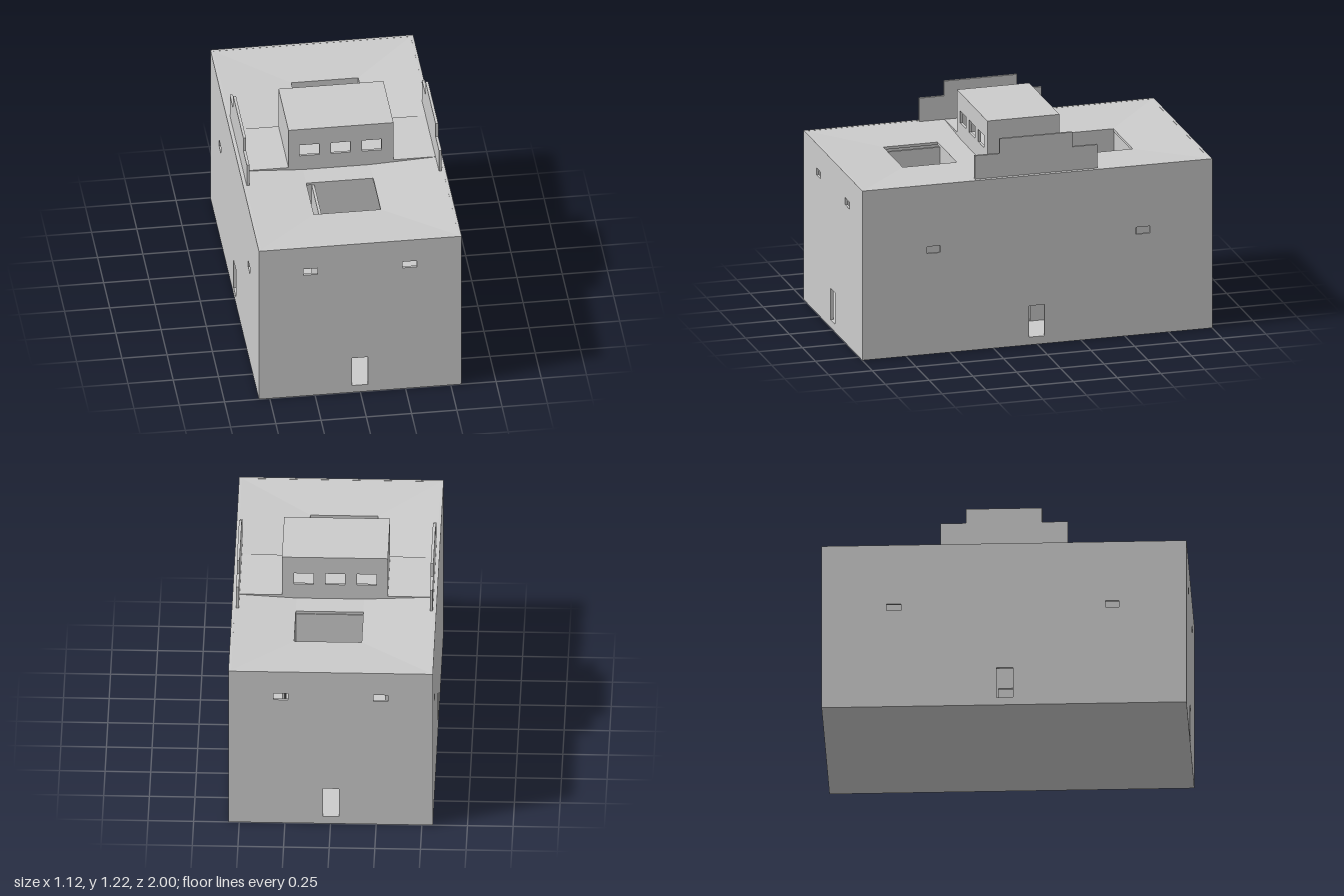
import * as THREE from 'three';

const mat = new THREE.MeshStandardMaterial({ color: 0xcccccc });
const sheetMat = new THREE.MeshStandardMaterial({ color: 0xcccccc, side: THREE.DoubleSide });
const T = 0.015; // wall thickness
const TOP = 0.975, DIP = 0.955; // roof edge and roof opening heights

// Extruded upright panel. axis 'z': u runs along x; axis 'x': u runs along z.
// pos is the lower coordinate of the panel across its thickness.
function panel(name, axis, pos, outline, holes = []) {
  const shape = new THREE.Shape(outline.map(([u, y]) => new THREE.Vector2(u, y)));
  for (const [u0, u1, y0, y1] of holes) {
    shape.holes.push(new THREE.Path(rect(u0, u1, y0, y1).map(([u, y]) => new THREE.Vector2(u, y)).reverse()));
  }
  const geo = new THREE.ExtrudeGeometry(shape, { depth: T, bevelEnabled: false });
  if (axis === 'x') geo.rotateY(-Math.PI / 2).translate(pos + T, 0, 0);
  else geo.translate(0, 0, pos);
  const mesh = new THREE.Mesh(geo, mat);
  mesh.name = name;
  return mesh;
}

const rect = (u0, u1, y0, y1) => [[u0, y0], [u1, y0], [u1, y1], [u0, y1]];

function box(name, x0, x1, y0, y1, z0, z1) {
  const mesh = new THREE.Mesh(new THREE.BoxGeometry(x1 - x0, y1 - y0, z1 - z0), mat);
  mesh.position.set((x0 + x1) / 2, (y0 + y1) / 2, (z0 + z1) / 2);
  mesh.name = name;
  return mesh;
}

// Flat-shaded sheet from polygons, each fanned from its first corner
function sheet(name, polygons) {
  const pos = [];
  for (const p of polygons) {
    for (let i = 1; i < p.length - 1; i++) pos.push(...p[0], ...p[i], ...p[i + 1]);
  }
  const geo = new THREE.BufferGeometry();
  geo.setAttribute('position', new THREE.Float32BufferAttribute(pos, 3));
  geo.computeVertexNormals();
  const mesh = new THREE.Mesh(geo, sheetMat);
  mesh.name = name;
  return mesh;
}

// Roof half that slopes gently inward to a rectangular opening
function slopedRoof() {
  const [l, r, f, b, e] = [-0.21, 0.16, 0.65, 0.34, 0.205];
  const hi = (x, z) => [x, TOP, z];
  const lo = (x, z) => [x, DIP, z];
  const rim = [lo(l, f), lo(r, f), lo(r, b), lo(l, b)];
  const polygons = [
    [hi(-0.56, 1), hi(0.56, 1), rim[1], rim[0]],
    [rim[1], hi(0.56, 1), hi(0.56, e), lo(r, e), rim[2]],
    [rim[3], rim[2], lo(r, e), lo(l, e)],
    [rim[0], rim[3], lo(l, e), hi(-0.56, e), hi(-0.56, 1)],
    [hi(-0.56, e), lo(l, e), lo(r, e), hi(0.56, e)],
  ];
  // Thickness of the opening edge
  rim.forEach((p, i) => {
    const q = rim[(i + 1) % 4];
    polygons.push([p, q, [q[0], q[1] - T, q[2]], [p[0], p[1] - T, p[2]]]);
  });
  return sheet('slopedRoof', polygons);
}

// Light shaft below a roof opening
function lightShaft(z0, z1, peep) {
  const g = new THREE.Group();
  g.name = 'lightShaft';
  const [x0, x1, y0, y1] = [-0.165, 0.21, 0.065, DIP - T];
  g.add(
    panel('shaftSideWall', 'x', x0 - T, rect(z0, z1, y0, y1), [peep]),
    panel('shaftSideWall', 'x', x1, rect(z0, z1, y0, y1), [peep]),
    panel('shaftEndWall', 'z', z0 - T, rect(x0 - T, x1 + T, y0, y1)),
    panel('shaftEndWall', 'z', z1, rect(x0 - T, x1 + T, y0, y1)),
  );
  return g;
}

export function createModel() {
  const model = new THREE.Group();
  model.name = 'building';

  // Floor slab
  model.add(box('floor', -0.555, 0.555, 0, 0.045, -0.995, 0.995));

  // Outer walls with doors and small high windows
  const endHoles = [[-0.045, 0.042, 0.045, 0.225], [-0.315, -0.235, 0.795, 0.835], [0.232, 0.312, 0.795, 0.835]];
  const sideHoles = [[-0.042, 0.048, 0.045, 0.225], [0.555, 0.63, 0.58, 0.62], [-0.645, -0.565, 0.58, 0.62]];
  for (const z of [-1, 1 - T]) model.add(panel('endWall', 'z', z, rect(-0.56, 0.56, 0, TOP), endHoles));
  for (const x of [-0.56, 0.56 - T]) {
    model.add(panel('sideWall', 'x', x, rect(-1 + T, 1 - T, 0, TOP), sideHoles));
  }

  // Roof: flat middle strip and two sloped halves
  model.add(box('middleRoof', -0.56, 0.56, TOP - T, TOP, -0.205, 0.205));
  const backRoof = slopedRoof();
  backRoof.rotation.y = Math.PI;
  model.add(slopedRoof(), backRoof);

  // Light shafts
  model.add(lightShaft(0.34, 0.65, [0.56, 0.6, 0.56, 0.6]));
  model.add(lightShaft(-0.655, -0.345, [-0.6, -0.565, 0.56, 0.6]));

  // Inner partitions beneath the rooftop room
  for (const x of [-0.29, 0.29 - T]) {
    model.add(panel('partition', 'x', x, rect(-0.205, 0.205, 0.045, TOP - T), [[-0.042, 0.048, 0.05, 0.225]]));
  }

  // Rooftop room with three windows front and back
  const room = new THREE.Group();
  room.name = 'rooftopRoom';
  const windows = [-0.174, -0.002, 0.17].map((x) => [x - 0.054, x + 0.054, 1.047, 1.117]);
  for (const z of [-0.208, 0.205 - T]) room.add(panel('roomWall', 'z', z, rect(-0.29, 0.29, TOP, 1.22), windows));
  for (const x of [-0.29, 0.29 - T]) room.add(panel('roomSideWall', 'x', x, rect(-0.2, 0.195, TOP, 1.22)));
  room.add(box('roomRoof', -0.29 + T, 0.29 - T, 1.22 - T, 1.22, -0.2, 0.195));
  model.add(room);

  // Stepped parapets along both sides
  const steps = [[-0.35, TOP], [0.35, TOP], [0.35, 1.11], [0.208, 1.11], [0.208, 1.195],
    [-0.208, 1.195], [-0.208, 1.11], [-0.35, 1.11]];
  for (const x of [-0.54, 0.522]) model.add(panel('steppedParapet', 'x', x, steps));

  return model;
}
